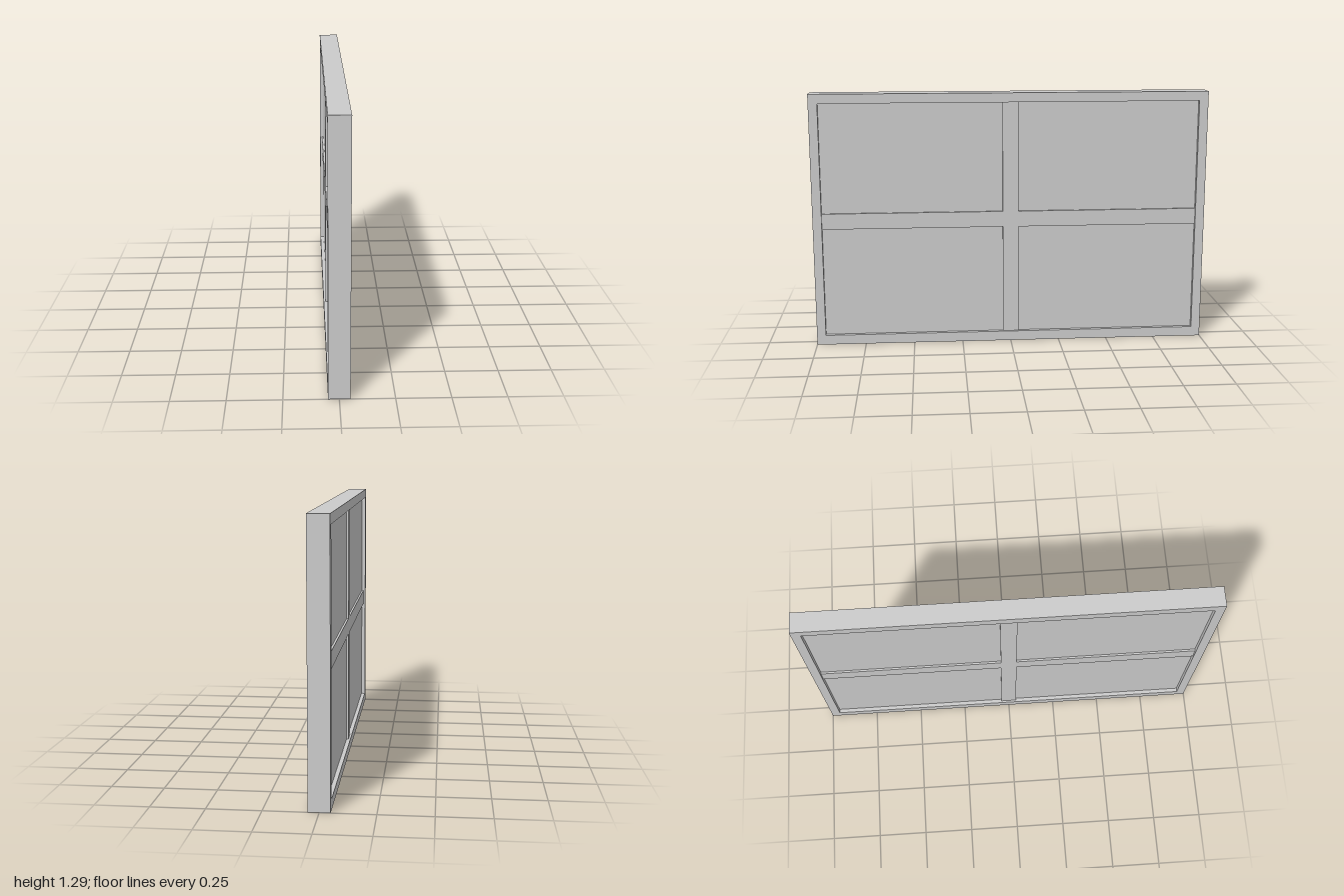
import * as THREE from 'three';

export function createModel() {
  const group = new THREE.Group();
  const material = new THREE.MeshStandardMaterial({ color: 0xcccccc, flatShading: true });
  const length = 2, height = 1.29, depth = 0.1;
  const openLength = 1.91, openHeight = 1.194, midY = height / 2 + 0.001;

  const add = (name, geometry, y = 0) => {
    const mesh = new THREE.Mesh(geometry, material);
    mesh.name = name;
    mesh.position.y = y;
    group.add(mesh);
  };

  // Outer frame: a rectangle with one opening, extruded through the thickness
  const outline = new THREE.Shape([
    [-length / 2, 0], [length / 2, 0], [length / 2, height], [-length / 2, height],
  ].map(([z, y]) => new THREE.Vector2(z, y)));
  const z = openLength / 2, low = midY - openHeight / 2, high = midY + openHeight / 2;
  outline.holes.push(new THREE.Path([
    [-z, low], [-z, high], [z, high], [z, low],
  ].map(([a, b]) => new THREE.Vector2(a, b))));
  const frame = new THREE.ExtrudeGeometry(outline, { depth, bevelEnabled: false });
  frame.translate(0, 0, -depth / 2).rotateY(Math.PI / 2);
  add('frame', frame);

  // Pane, recessed on both faces
  add('pane', new THREE.BoxGeometry(0.06, openHeight, openLength), midY);

  // Crossing glazing bars, set slightly behind the frame on both faces
  const barDepth = 0.08, barWidth = 0.08;
  add('horizontalBar', new THREE.BoxGeometry(barDepth, barWidth, openLength), midY);
  add('verticalBar', new THREE.BoxGeometry(barDepth, openHeight, barWidth), midY);

  return group;
}
